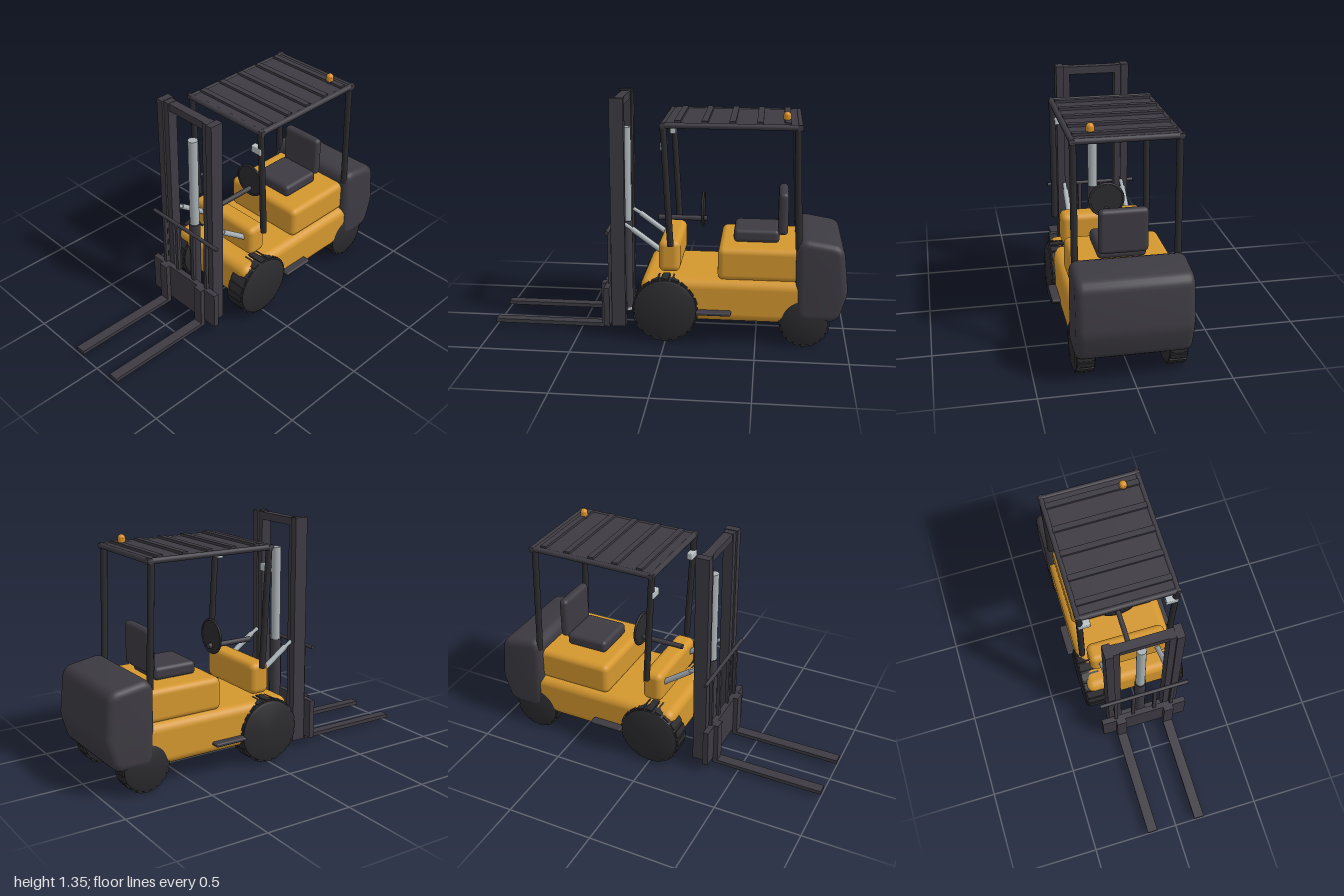
import * as THREE from 'three';
import { toCreasedNormals } from 'three/addons/utils/BufferGeometryUtils.js';
import { RoundedBoxGeometry } from 'three/addons/geometries/RoundedBoxGeometry.js';

const mat = (name, color) => Object.assign(new THREE.MeshStandardMaterial({ color }), { name });

export function createModel() {
  const root = new THREE.Group();
  root.name = 'forklift';
  const yellow = mat('body yellow', 0xd4972f);
  const dark = mat('charcoal', 0x3d3b42);
  const black = mat('rubber black', 0x2b2a2e);
  const chrome = mat('chrome', 0xaab2b6);
  const lampGrey = mat('lamp grey', 0xb9c2c6);
  const orange = mat('beacon orange', 0xd8902a);

  const add = (name, geo, material, parent = root) => {
    const m = new THREE.Mesh(geo, material);
    m.name = name;
    parent.add(m);
    return m;
  };
  // Box given by its min and max on each axis; r > 0 rounds the edges
  const box = (name, x0, x1, y0, y1, z0, z1, material, r = 0) => {
    const s = [x1 - x0, y1 - y0, z1 - z0];
    const geo = r ? new RoundedBoxGeometry(...s, 4, r) : new THREE.BoxGeometry(...s);
    const m = add(name, geo, material);
    m.position.set((x0 + x1) / 2, (y0 + y1) / 2, (z0 + z1) / 2);
    return m;
  };
  // Round bar between two points
  const rod = (name, a, b, r, material, sides = 16) => {
    const p = new THREE.Vector3(...a), q = new THREE.Vector3(...b);
    const m = add(name, new THREE.CylinderGeometry(r, r, p.distanceTo(q), sides), material);
    m.position.copy(p).lerp(q, 0.5);
    m.quaternion.setFromUnitVectors(new THREE.Vector3(0, 1, 0), q.sub(p).normalize());
    return m;
  };

  // Chassis, cowl and engine hood
  box('chassis', -0.29, 0.29, 0.13, 0.37, -0.78, 0.14, yellow, 0.05);
  box('frontCowl', -0.235, 0.235, 0.39, 0.572, -0.075, 0.045, yellow, 0.035);
  box('engineHood', -0.26, 0.26, 0.36, 0.548, -0.75, -0.285, yellow, 0.035);

  // Counterweight: rounded side profile, extruded across the width
  const corners = [[-0.75, 0.58], [-0.93, 0.55], [-0.955, 0.32], [-0.915, 0.19], [-0.755, 0.19]]
    .map(p => new THREE.Vector2(...p));
  const profile = new THREE.Shape();
  corners.forEach((c, i) => {
    const prev = corners[(i + 4) % 5], next = corners[(i + 1) % 5];
    const a = c.clone().add(prev.clone().sub(c).setLength(0.025));
    const b = c.clone().add(next.clone().sub(c).setLength(0.025));
    if (i) profile.lineTo(a.x, a.y); else profile.moveTo(a.x, a.y);
    profile.quadraticCurveTo(c.x, c.y, b.x, b.y);
  });
  profile.closePath();
  const weight = new THREE.ExtrudeGeometry(profile, {
    depth: 0.52, bevelEnabled: true, bevelSize: 0.04, bevelThickness: 0.04, bevelSegments: 5, curveSegments: 5,
  });
  weight.translate(0, 0, -0.26).rotateY(-Math.PI / 2);
  add('counterweight', toCreasedNormals(weight, 0.7), dark);

  // Wheels: turned tyre with shallow tread blocks
  const wheel = (name, x, y, z, r, w) => {
    const g = new THREE.Group();
    g.name = name;
    g.position.set(x, y, z);
    const h = w / 2, R = r - 0.004;
    const pts = [[0, -h], [R - 0.02, -h], [R - 0.006, -h + 0.007], [R, -h + 0.025],
      [R, h - 0.025], [R - 0.006, h - 0.007], [R - 0.02, h], [0, h]].map(p => new THREE.Vector2(...p));
    const tyre = new THREE.LatheGeometry(pts, 40);
    tyre.rotateZ(Math.PI / 2);
    add('tyre', toCreasedNormals(tyre, 0.6), black, g);
    for (let i = 0; i < 20; i++) {
      const a = i / 20 * Math.PI * 2;
      const t = add('treadBlock', new THREE.BoxGeometry(w * 0.8, 0.012, r * 0.22), black, g);
      t.position.set(0, Math.cos(a) * (r - 0.006), Math.sin(a) * (r - 0.006));
      t.rotation.x = a;
    }
    root.add(g);
  };
  for (const s of [-1, 1]) {
    wheel('frontWheel', s * 0.245, 0.193, 0, 0.183, 0.13);
    wheel('rearWheel', s * 0.24, 0.145, -0.765, 0.138, 0.11);
    box('step', s > 0 ? 0.27 : -0.335, s > 0 ? 0.335 : -0.27, 0.182, 0.202, -0.365, -0.172, dark, 0.008);
  }
  rod('frontAxle', [-0.2, 0.19, 0], [0.2, 0.19, 0], 0.035, black);
  rod('rearAxle', [-0.2, 0.14, -0.765], [0.2, 0.14, -0.765], 0.03, black);

  // Overhead guard
  box('roofPanel', -0.275, 0.275, 1.213, 1.233, -0.715, 0.022, dark);
  const y = 1.222;
  for (const s of [-1, 1]) {
    rod('roofSideRail', [s * 0.27, y, 0.03], [s * 0.27, y, -0.725], 0.016, dark);
    rod('frontPost', [s * 0.266, 0.555, -0.027], [s * 0.266, 1.22, 0.014], 0.018, black);
    rod('rearPost', [s * 0.266, 0.56, -0.723], [s * 0.266, 1.22, -0.698], 0.018, black);
    const lamp = box('headlamp', -0.035, 0.035, 1.087, 1.13, -0.006, 0.028, lampGrey, 0.006);
    lamp.position.x = s * 0.243;
  }
  for (const z of [0.015, -0.71]) rod('roofCrossRail', [-0.285, y, z], [0.285, y, z], 0.016, dark);
  for (let i = 0; i < 5; i++) {
    const z = -0.062 - i * 0.146;
    box('roofSlat', -0.262, 0.262, 1.228, 1.247, z - 0.017, z + 0.017, dark);
  }

  // Warning beacon
  rod('beaconBase', [0.17, 1.23, -0.64], [0.17, 1.255, -0.64], 0.016, dark);
  rod('beacon', [0.17, 1.25, -0.64], [0.17, 1.272, -0.64], 0.021, orange, 20);
  const dome = add('beaconDome', new THREE.SphereGeometry(0.021, 20, 8, 0, Math.PI * 2, 0, Math.PI / 2), orange);
  dome.position.set(0.17, 1.27, -0.64);

  // Seat
  box('seatCushion', -0.13, 0.13, 0.545, 0.62, -0.62, -0.365, dark, 0.025);
  box('seatBack', -0.13, 0.13, 0.59, 0.833, -0.665, -0.61, dark, 0.025);

  // Steering wheel and column
  const rim = add('steeringRim', new THREE.TorusGeometry(0.095, 0.007, 8, 40), black);
  rim.position.set(0, 0.7, -0.187);
  rod('steeringDisc', [0, 0.7, -0.184], [0, 0.7, -0.19], 0.093, black, 40);
  rod('steeringColumn', [0, 0.645, 0.07], [0, 0.645, -0.21], 0.015, dark);

  // Mast: channel uprights joined by cross members
  for (const s of [-1, 1]) {
    const side = (name, a, b, ...rest) => box(name, s > 0 ? a : -b, s > 0 ? b : -a, ...rest);
    side('outerUpright', 0.165, 0.208, 0.05, 1.352, 0.235, 0.313, dark);
    side('innerUpright', 0.13, 0.166, 0.06, 1.348, 0.245, 0.303, dark);
    // Forks
    side('forkShank', 0.117, 0.175, 0.03, 0.295, 0.348, 0.376, dark);
    side('forkTine', 0.117, 0.175, 0.03, 0.052, 0.35, 1, dark);
    // Tilt cylinders
    rod('tiltBarrel', [s * 0.17, 0.495, 0.03], [s * 0.17, 0.62, 0.2], 0.016, chrome);
    rod('tiltRod', [s * 0.17, 0.61, 0.186], [s * 0.17, 0.645, 0.24], 0.011, chrome);
  }
  box('mastTopBeam', -0.14, 0.14, 1.303, 1.346, 0.247, 0.297, dark);
  box('mastBottomBeam', -0.14, 0.14, 0.085, 0.13, 0.25, 0.3, dark);
  rod('liftBarrel', [0, 0.095, 0.253], [0, 0.62, 0.253], 0.032, dark, 24);
  rod('liftRod', [0, 0.075, 0.253], [0, 1.163, 0.253], 0.027, chrome, 24);

  // Fork carriage and load backrest
  box('carriagePlate', -0.257, 0.257, 0.066, 0.293, 0.318, 0.35, dark);
  rod('backrestBar', [-0.26, 0.614, 0.328], [0.26, 0.614, 0.328], 0.011, dark);
  for (const x of [-0.17, -0.065, 0.065, 0.17]) {
    box('backrestBar', x - 0.01, x + 0.01, 0.28, 0.614, 0.319, 0.337, dark);
  }
  return root;
}
